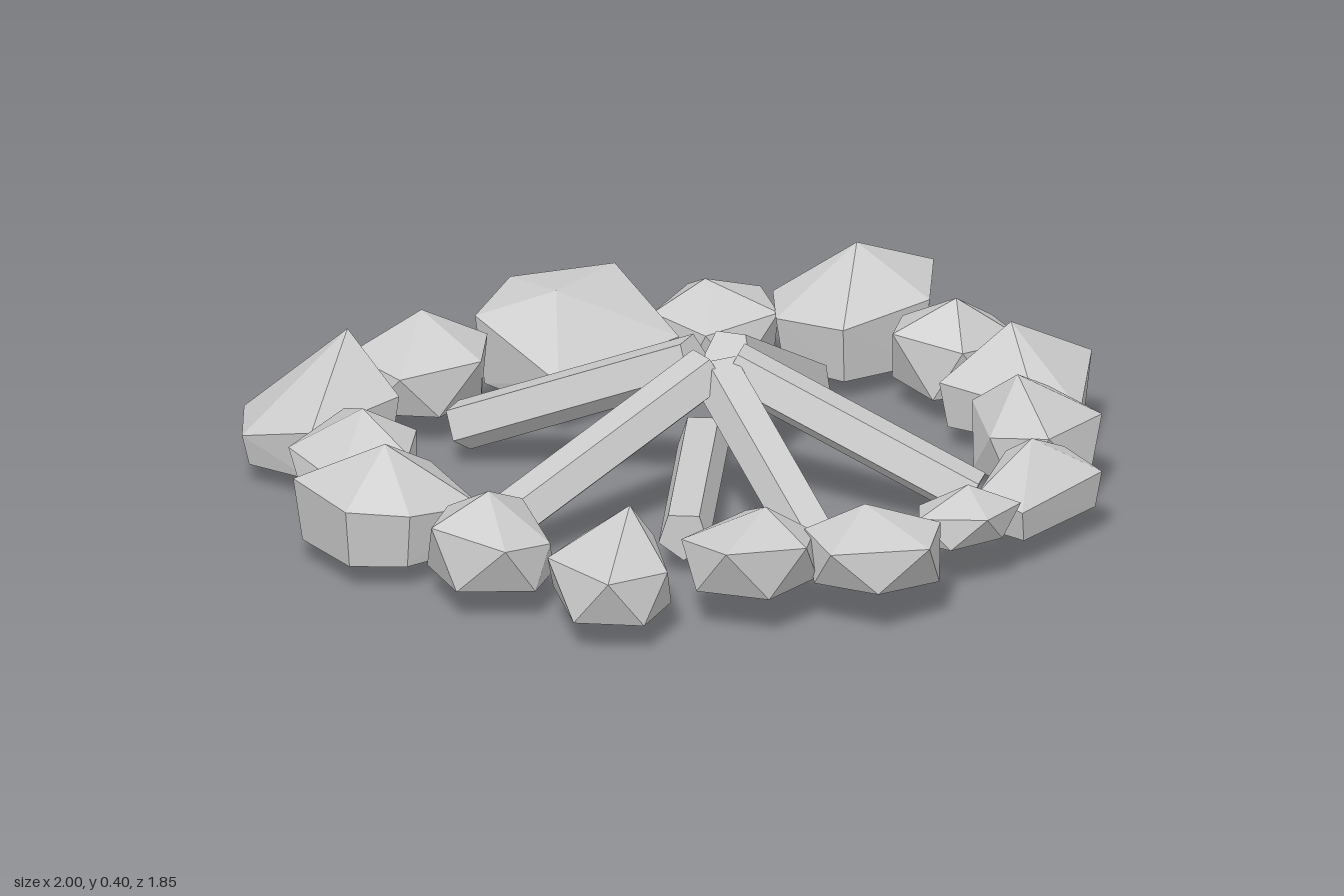
import * as THREE from 'three';
import { ConvexGeometry } from 'three/addons/geometries/ConvexGeometry.js';

const material = new THREE.MeshStandardMaterial({ color: 0xcccccc, flatShading: true });

// Small seeded generator for the chipped look of the stones
function seeded(seed) {
  let s = seed * 7919 + 17;
  return () => (s = (s * 16807) % 2147483647) / 2147483647;
}

function convexMesh(points, name) {
  const mesh = new THREE.Mesh(new ConvexGeometry(points), material);
  mesh.name = name;
  return mesh;
}

// Chipped stone: two staggered rings, a base and a peak, fitted to its size.
// A flat stone sits on a broad base, the others taper below the waist.
function createSmallStone([x0, x1, z0, z1, y0, y1, peakX, peakZ, flat], index) {
  const random = seeded(index + 3);
  for (let i = 0; i < 5; i++) random();
  const points = [];
  const turn = random() * Math.PI;
  const rings = flat
    ? [{ r: 0.9, h: 0.03, chip: 0.06 }, { r: 0.95, h: 0.6, chip: 0.24 }]
    : [{ r: 0.85, h: 0.12, chip: 0.14 }, { r: 0.95, h: 0.64, chip: 0.24 }];
  rings.forEach(({ r, h, chip }, ring) => {
    for (let i = 0; i < 5; i++) {
      const a = turn + (i + ring * 0.5 + (random() - 0.5) * 0.3) * Math.PI * 0.4;
      const radius = r + (random() - 0.5) * 0.16;
      const height = h + (random() - 0.5) * chip;
      points.push(new THREE.Vector3(Math.cos(a) * radius, height, Math.sin(a) * radius));
    }
  });
  const box = new THREE.Box3().setFromPoints(points);
  for (const p of points) {
    p.x = THREE.MathUtils.mapLinear(p.x, box.min.x, box.max.x, x0, x1);
    p.z = THREE.MathUtils.mapLinear(p.z, box.min.z, box.max.z, z0, z1);
    p.y = y0 + p.y * (y1 - y0);
  }
  points.push(new THREE.Vector3(peakX, y1, peakZ));
  points.push(new THREE.Vector3((x0 + x1) / 2, y0, (z0 + z1) / 2));
  return convexMesh(points, 'smallStone' + (index + 1));
}

// Large stone: shoulder outline, a slightly smaller base, a low point and a peak
function createLargeStone({ base, low, peak, shoulder }, index) {
  const top = shoulder.map(([x, z, y]) => new THREE.Vector3(x, y, z));
  const centre = new THREE.Box3().setFromPoints(top).getCenter(new THREE.Vector3());
  const bottom = top.map((p) => p.clone().lerp(centre, 0.1).setY(base));
  const points = [...top, ...bottom, new THREE.Vector3(...peak), centre.setY(low)];
  return convexMesh(points, 'largeStone' + (index + 1));
}

// Five-sided log between two points, flat side up
function createLog(from, to, index) {
  const a = new THREE.Vector3(...from), b = new THREE.Vector3(...to);
  const geometry = new THREE.CylinderGeometry(0.061, 0.061, a.distanceTo(b), 5);
  geometry.rotateX(Math.PI / 2);
  const mesh = new THREE.Mesh(geometry, material);
  mesh.position.copy(a).lerp(b, 0.5);
  mesh.lookAt(b);
  mesh.name = 'log' + (index + 1);
  return mesh;
}

export function createModel() {
  const model = new THREE.Group();
  model.name = 'campfire';

  const stoneRing = new THREE.Group();
  stoneRing.name = 'stoneRing';

  // Large stones: back slab, back corners, both sides and front left
  [
    { base: 0.06, low: 0.005, peak: [0, 0.27, -0.76], shoulder: [
      [-0.19, -0.80, 0.23], [-0.03, -0.93, 0.25], [0.21, -0.87, 0.26],
      [0.245, -0.62, 0.16], [-0.11, -0.54, 0.14]] },
    { base: 0.055, low: 0.04, peak: [-0.60, 0.33, -0.65], shoulder: [
      [-0.89, -0.62, 0.13], [-0.80, -0.78, 0.13], [-0.56, -0.81, 0.18],
      [-0.50, -0.70, 0.20], [-0.54, -0.51, 0.20], [-0.80, -0.45, 0.18]] },
    { base: 0.055, low: 0.05, peak: [0.68, 0.33, -0.57], shoulder: [
      [0.47, -0.57, 0.18], [0.52, -0.68, 0.20], [0.73, -0.75, 0.19],
      [0.88, -0.57, 0.25], [0.79, -0.42, 0.22], [0.56, -0.41, 0.19]] },
    { base: 0.06, low: 0.055, peak: [0.79, 0.31, -0.02], shoulder: [
      [0.63, -0.07, 0.17], [0.75, -0.17, 0.16], [0.93, -0.19, 0.15],
      [1.00, -0.02, 0.20], [0.87, 0.17, 0.14], [0.77, 0.15, 0.15]] },
    { base: 0.06, low: 0.055, peak: [-0.83, 0.31, -0.03], shoulder: [
      [-1.00, -0.16, 0.21], [-0.84, -0.21, 0.20], [-0.66, -0.13, 0.20],
      [-0.65, 0.10, 0.17], [-0.85, 0.13, 0.19], [-0.98, 0.06, 0.20]] },
    { base: 0.075, low: 0.065, peak: [0.58, 0.24, 0.48], shoulder: [
      [0.40, 0.56, 0.17], [0.56, 0.39, 0.18], [0.68, 0.45, 0.19],
      [0.72, 0.56, 0.16], [0.45, 0.68, 0.15]] },
  ].forEach((spec, i) => stoneRing.add(createLargeStone(spec, i)));

  // Small stones: x range, z range, y range, peak x and z, flat base
  [
    [-0.52, -0.19, -0.89, -0.61, 0.05, 0.29, -0.35, -0.76, 0],
    [0.24, 0.52, -0.84, -0.57, 0.05, 0.25, 0.36, -0.71, 1],
    [0.62, 0.94, -0.41, -0.15, 0.07, 0.28, 0.78, -0.27, 1],
    [0.56, 0.85, 0.10, 0.43, 0.06, 0.295, 0.67, 0.24, 1],
    [0.19, 0.44, 0.54, 0.76, 0.09, 0.23, 0.33, 0.64, 0],
    [-0.13, 0.18, 0.59, 0.92, 0.08, 0.27, 0.02, 0.72, 0],
    [-0.38, -0.07, 0.51, 0.80, 0.09, 0.27, -0.19, 0.63, 0],
    [-0.69, -0.42, 0.40, 0.72, 0.07, 0.295, -0.49, 0.53, 1],
    [-0.87, -0.58, 0.12, 0.44, 0.07, 0.28, -0.72, 0.27, 1],
    [-0.91, -0.61, -0.47, -0.14, 0.06, 0.28, -0.74, -0.31, 0],
  ].forEach((spec, i) => stoneRing.add(createSmallStone(spec, i)));

  // Five logs leaning to the centre and one lying beneath them
  const logPile = new THREE.Group();
  logPile.name = 'logPile';
  [
    [[-0.37, 0.09, -0.53], [-0.01, 0.355, -0.06]],
    [[0.48, 0.065, -0.43], [0.07, 0.355, -0.05]],
    [[0.48, 0.08, 0.38], [0.05, 0.35, 0.01]],
    [[0.01, 0.08, 0.51], [0.01, 0.34, 0.01]],
    [[-0.58, 0.09, 0.06], [-0.01, 0.35, 0.01]],
    [[-0.25, 0.105, 0.34], [0.07, 0.105, -0.17]],
  ].forEach(([from, to], i) => logPile.add(createLog(from, to, i)));

  model.add(stoneRing, logPile);
  return model;
}
